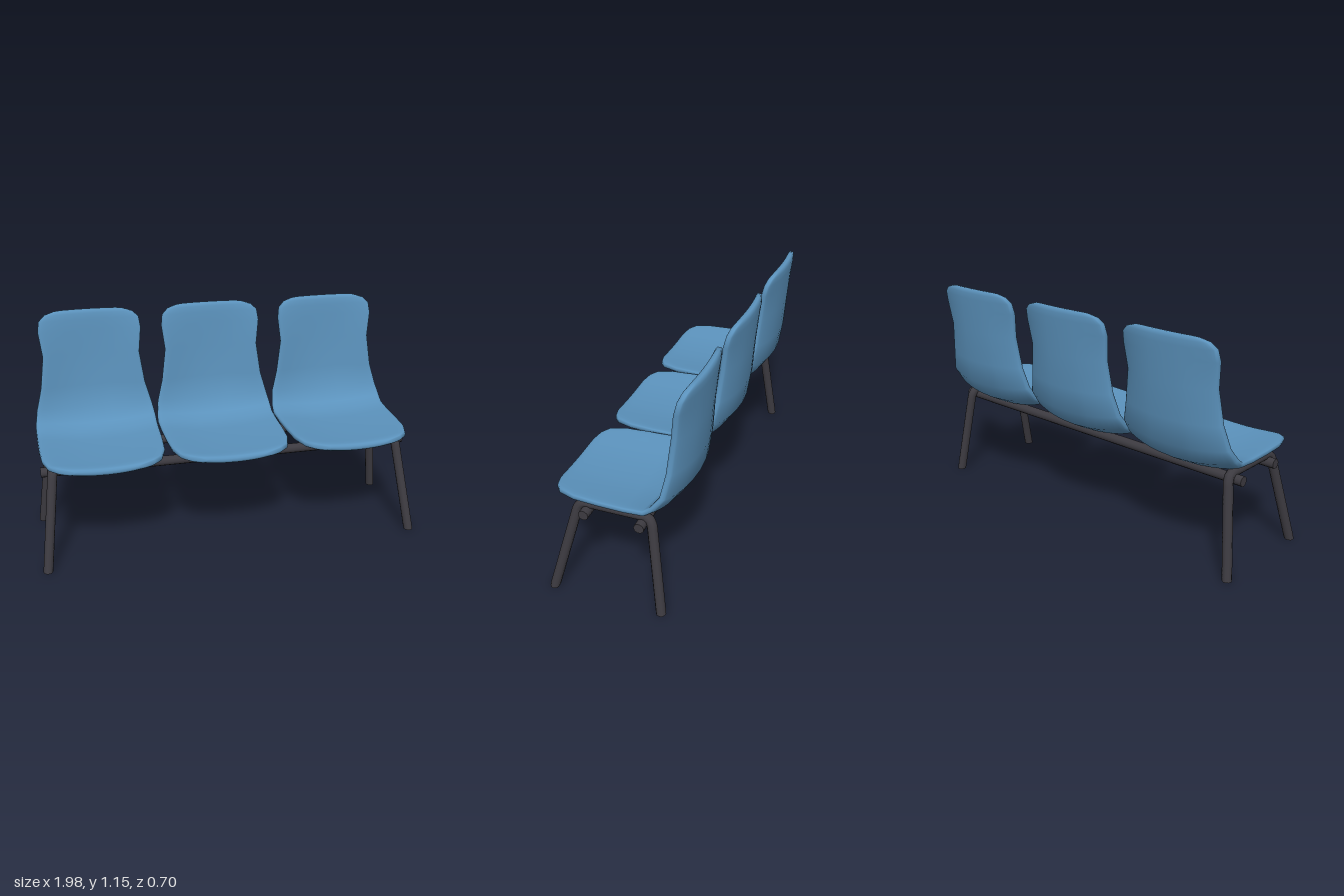
import * as THREE from 'three';

// Shell stations from front lip to top of back: z, y, half width, dish, thickness
const STATIONS = [
  [0.342, 0.502, 0.155, 0.04, 0.012],
  [0.335, 0.500, 0.185, 0.04, 0.030],
  [0.318, 0.497, 0.238, 0.04, 0.042],
  [0.285, 0.493, 0.278, 0.04, 0.046],
  [0.200, 0.488, 0.305, 0.04, 0.046],
  [0.080, 0.486, 0.314, 0.04, 0.044],
  [-0.050, 0.484, 0.318, 0.042, 0.044],
  [-0.160, 0.490, 0.320, 0.045, 0.044],
  [-0.235, 0.530, 0.318, 0.055, 0.044],
  [-0.300, 0.620, 0.306, 0.060, 0.044],
  [-0.321, 0.750, 0.276, 0.068, 0.044],
  [-0.335, 0.920, 0.253, 0.078, 0.044],
  [-0.342, 1.050, 0.268, 0.055, 0.044],
  [-0.346, 1.105, 0.260, 0.045, 0.044],
  [-0.348, 1.135, 0.228, 0.040, 0.040],
  [-0.349, 1.150, 0.180, 0.035, 0.030],
  [-0.349, 1.155, 0.150, 0.035, 0.014],
];
const RING = 36;

const softPow = (v, p) => Math.sign(v) * Math.pow(Math.abs(v), p);

// Loft dished, round-edged cross-sections along the stations
function shellGeometry() {
  const pos = [], index = [];
  const last = STATIONS.length - 1;
  STATIONS.forEach(([z, y, w, dish, t], i) => {
    const a = STATIONS[Math.max(i - 1, 0)], b = STATIONS[Math.min(i + 1, last)];
    const len = Math.hypot(b[0] - a[0], b[1] - a[1]);
    const nz = (b[1] - a[1]) / len, ny = -(b[0] - a[0]) / len;
    for (let j = 0; j < RING; j++) {
      const ang = (j / RING) * Math.PI * 2;
      const x = w * softPow(Math.cos(ang), 0.7);
      const off = 0.022 + (t / 2) * softPow(Math.sin(ang), 0.4) + dish * (x / 0.32) ** 2;
      pos.push(x, y + ny * off, z + nz * off);
    }
  });
  for (let i = 0; i < last; i++) {
    for (let j = 0; j < RING; j++) {
      const k = (j + 1) % RING;
      const a = i * RING + j, b = i * RING + k, c = a + RING, d = b + RING;
      index.push(a, c, b, b, c, d);
    }
  }
  // Close both ends with strips joining the upper and lower halves
  const half = RING / 2, end = last * RING;
  for (let j = 0; j < half; j++) {
    const p = j, q = j + 1, r = (RING - j - 1) % RING, s = (RING - j) % RING;
    if (j > 0) {
      index.push(p, q, s);
      index.push(end + p, end + s, end + q);
    }
    if (q !== r) {
      index.push(q, r, s);
      index.push(end + q, end + s, end + r);
    }
  }
  const g = new THREE.BufferGeometry();
  g.setAttribute('position', new THREE.Float32BufferAttribute(pos, 3));
  g.setIndex(index);
  g.computeVertexNormals();
  return g;
}

// Bent leg frame: front foot, up, across under the seat, down to the back foot
function legPath(side) {
  const v = (x, y, z) => new THREE.Vector3(side * x, y, z);
  const path = new THREE.CurvePath();
  const frontFoot = v(0.965, 0, 0.327), backFoot = v(0.965, 0, -0.224);
  const f1 = v(0.907, 0.45, 0.206), f2 = v(0.9, 0.495, 0.15);
  const b1 = v(0.907, 0.45, -0.166), b2 = v(0.9, 0.495, -0.115);
  path.add(new THREE.LineCurve3(frontFoot, f1));
  path.add(new THREE.QuadraticBezierCurve3(f1, v(0.9, 0.498, 0.193), f2));
  path.add(new THREE.LineCurve3(f2, b2));
  path.add(new THREE.QuadraticBezierCurve3(b2, v(0.9, 0.498, -0.16), b1));
  path.add(new THREE.LineCurve3(b1, backFoot));
  return path;
}

export function createModel() {
  const model = new THREE.Group();
  model.name = 'threeSeatBench';
  const blue = new THREE.MeshStandardMaterial({ color: 0x5b92bc });
  blue.name = 'seatBlue';
  const dark = new THREE.MeshStandardMaterial({ color: 0x3d3b41 });
  dark.name = 'frameCharcoal';
  const add = (name, geometry, material, x = 0, y = 0, z = 0) => {
    const mesh = new THREE.Mesh(geometry, material);
    mesh.name = name;
    mesh.position.set(x, y, z);
    model.add(mesh);
    return mesh;
  };

  // Three moulded seats
  const shell = shellGeometry();
  ['rightSeat', 'middleSeat', 'leftSeat'].forEach((name, i) => add(name, shell, blue, (i - 1) * 0.645));

  // Two long rails
  const rail = new THREE.CylinderGeometry(0.025, 0.025, 1.92, 10).rotateZ(Math.PI / 2);
  add('frontRail', rail, dark, 0, 0.465, 0.15);
  add('backRail', rail, dark, 0, 0.465, -0.122);

  // Leg frames, with the feet cut level with the floor
  for (const side of [-1, 1]) {
    const name = side > 0 ? 'left' : 'right';
    const tube = new THREE.TubeGeometry(legPath(side), 60, 0.024, 10, false);
    const p = tube.attributes.position;
    for (let i = 0; i < 11; i++) {
      p.setY(i, 0);
      p.setY(p.count - 1 - i, 0);
    }
    add(name + 'LegFrame', tube, dark);
    const cap = new THREE.CircleGeometry(0.024, 10).rotateX(Math.PI / 2);
    add(name + 'FrontFootCap', cap, dark, side * 0.965, 0, 0.327);
    add(name + 'BackFootCap', cap, dark, side * 0.965, 0, -0.224);
  }
  return model;
}
